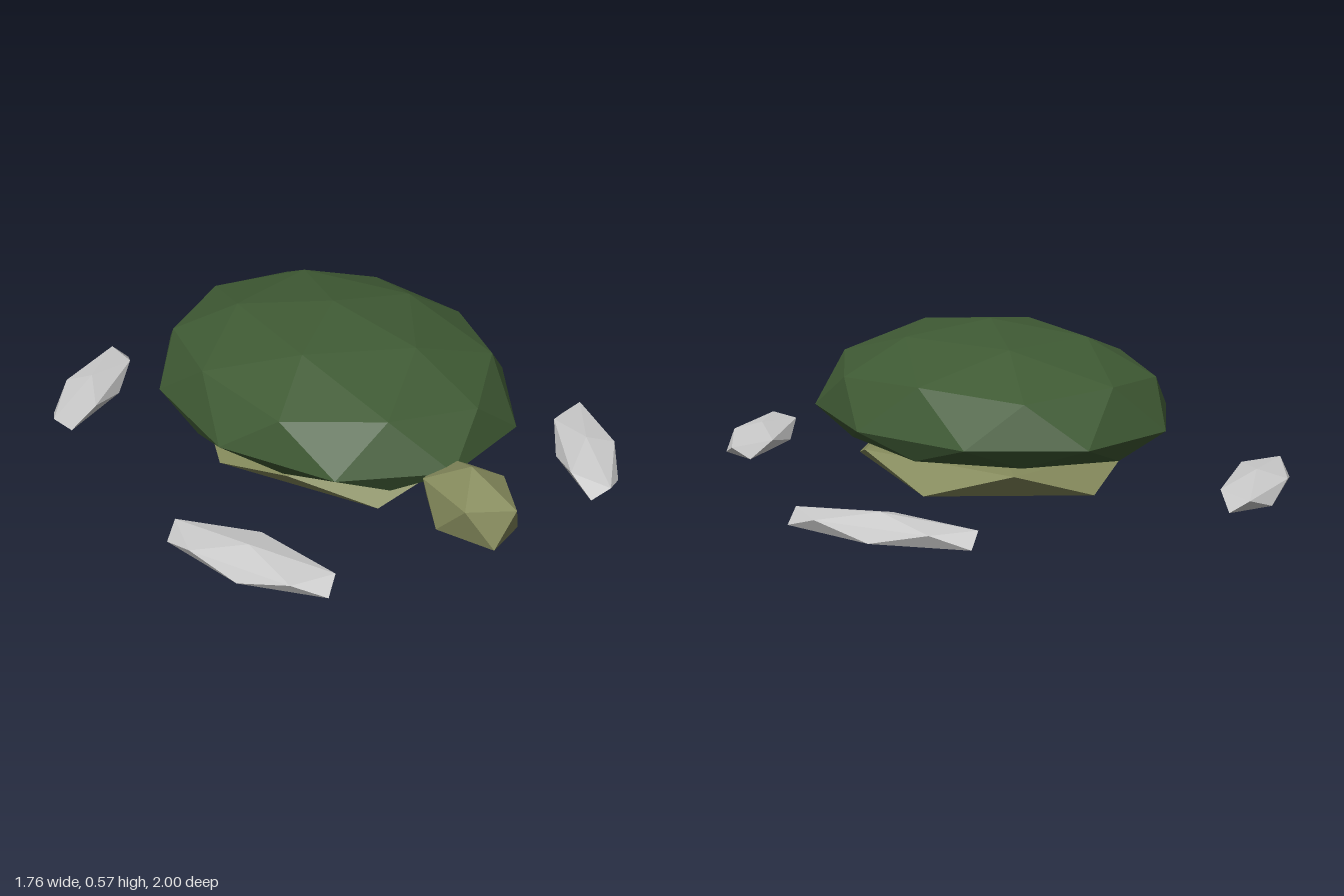
import * as THREE from 'three';

const shellGreen = new THREE.MeshStandardMaterial({ color: 0x3f5a34, flatShading: true });
const skinOlive = new THREE.MeshStandardMaterial({ color: 0x858a5c, flatShading: true });
const flipperGrey = new THREE.MeshStandardMaterial({ color: 0xcccccc, flatShading: true });
shellGreen.name = 'shell green';
skinOlive.name = 'skin olive';
flipperGrey.name = 'flipper grey';

// Faceted unit ball standing on one corner, mirrored across z
function facetedBall(detail) {
  const ball = new THREE.IcosahedronGeometry(1, detail);
  return ball.rotateZ(-Math.atan(2 / (1 + Math.sqrt(5))));
}

// Stretches a ball along the ground vectors a and b ([x, z]) and by height h
function addPart(group, name, ball, material, centre, a, h, b) {
  ball.applyMatrix4(new THREE.Matrix4().set(
    a[0], 0, b[0], centre[0],
    0, h, 0, centre[1],
    a[1], 0, b[1], centre[2],
    0, 0, 0, 1
  ));
  ball.computeVertexNormals();
  const mesh = new THREE.Mesh(ball, material);
  mesh.name = name;
  group.add(mesh);
}

export function createModel() {
  const turtle = new THREE.Group();
  turtle.name = 'turtle';

  // Domed shell with its underside pressed flat
  const dome = facetedBall(1);
  const p = dome.attributes.position;
  for (let i = 0; i < p.count; i++) p.setY(i, Math.max(p.getY(i), -0.24));
  addPart(turtle, 'shell', dome, shellGreen, [-0.004, 0.27, -0.045], [0.602, 0], 0.305, [0, 0.766]);

  // Belly and head
  addPart(turtle, 'belly', facetedBall(0), skinOlive, [0, 0.102, -0.045], [0.52, 0], 0.102, [0, 0.63]);
  addPart(turtle, 'head', facetedBall(0), skinOlive, [0, 0.208, 0.81], [0.143, 0], 0.132, [0, 0.223]);

  // Flippers: width vector a, length vector b
  const flippers = [
    ['frontRightFlipper', [-0.665, 0.57], [0.095, -0.087], [0.172, 0.31]],
    ['frontLeftFlipper', [0.667, 0.568], [0.108, 0.045], [-0.173, 0.314]],
    ['backRightFlipper', [-0.652, -0.754], [-0.09, -0.068], [0.244, -0.266]],
    ['backLeftFlipper', [0.652, -0.753], [-0.072, 0.081], [-0.244, -0.267]],
  ];
  for (const [name, c, a, b] of flippers) {
    addPart(turtle, name, facetedBall(0), flipperGrey, [c[0], 0.088, c[1]], a, 0.048, b);
  }
  return turtle;
}
